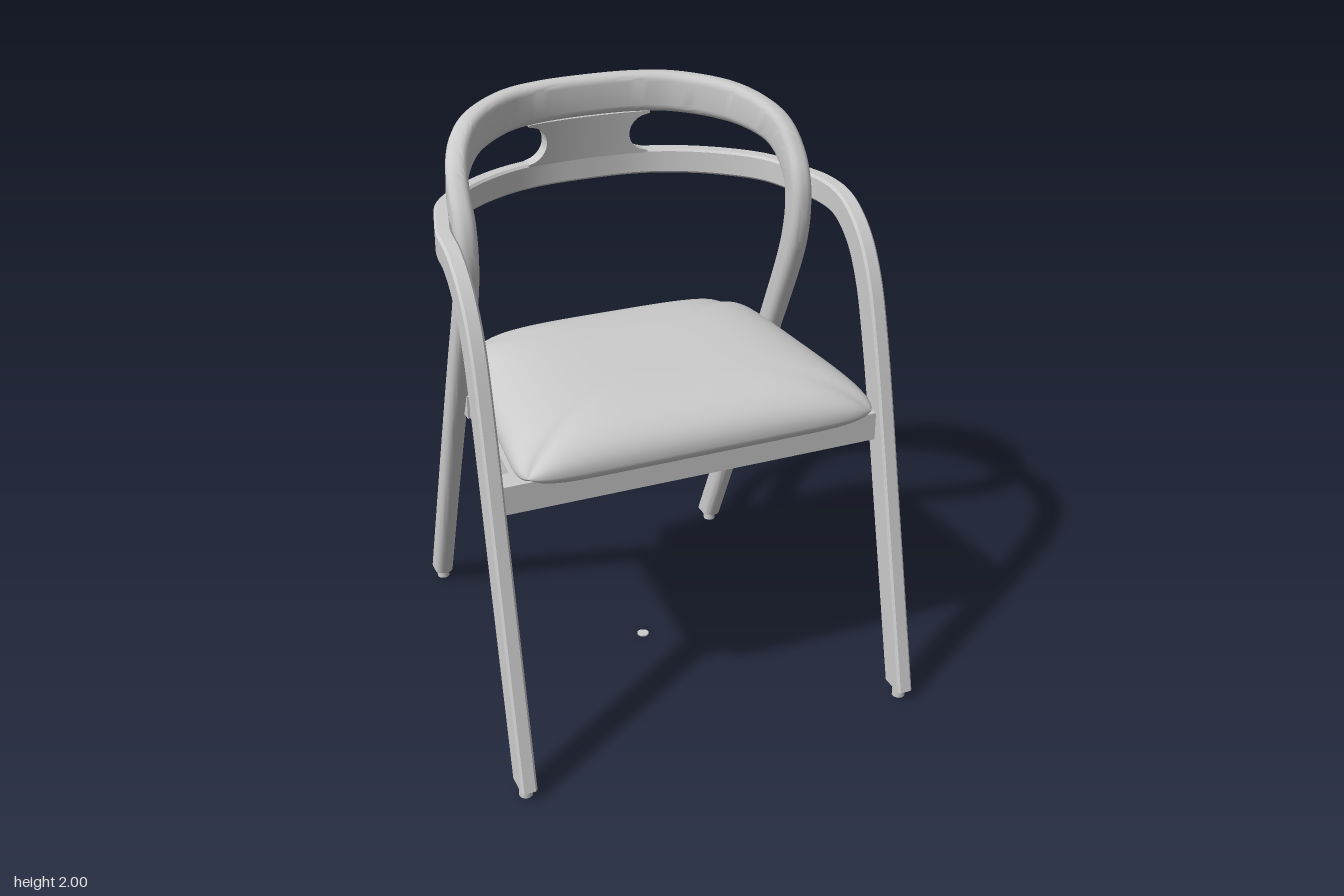
import * as THREE from 'three';
import { toCreasedNormals, mergeVertices } from 'three/addons/utils/BufferGeometryUtils.js';

const material = new THREE.MeshStandardMaterial({ color: 0xcccccc });

function add(group, name, geometry, x = 0, y = 0, z = 0) {
  const mesh = new THREE.Mesh(geometry, material);
  mesh.name = name;
  mesh.position.set(x, y, z);
  group.add(mesh);
  return mesh;
}

// Counter-clockwise rounded rectangle with k segments per corner
function roundedRect(w, h, r, k) {
  const pts = [];
  [[1, 1], [-1, 1], [-1, -1], [1, -1]].forEach(([sx, sy], c) => {
    for (let i = 0; i <= k; i++) {
      const a = (c + i / k) * Math.PI / 2;
      pts.push([sx * (w / 2 - r) + r * Math.cos(a), sy * (h / 2 - r) + r * Math.sin(a)]);
    }
  });
  return pts;
}

// Bent bar from the left foot to its mirror image on the right.
// Row: x, y, z, heading of the outer face in degrees (0 = side, 90 = back), thickness, height
function bentBar(half, radius, k, crease) {
  const rows = half.concat(half.slice(0, -1).reverse()
    .map(([x, y, z, a, t, h]) => [-x, y, z, 180 - a, t, h]));
  const curve = new THREE.CatmullRomCurve3(rows.map(r => new THREE.Vector3(r[0], r[1], r[2])));
  const steps = (rows.length - 1) * 6, footY = rows[0][1];
  const pos = [], index = [];
  let n = 0;
  for (let i = 0; i <= steps; i++) {
    const u = i / steps, f = Math.min(Math.floor(i / 6), rows.length - 2), w = i / 6 - f;
    const [a, t, h] = [3, 4, 5].map(c => THREE.MathUtils.lerp(rows[f][c], rows[f + 1][c], w));
    const p = curve.getPoint(u), T = curve.getTangent(u), rad = a * Math.PI / 180;
    const S = new THREE.Vector3(Math.cos(rad), 0, -Math.sin(rad));
    S.addScaledVector(T, -S.dot(T)).normalize();
    const U = T.clone().cross(S);
    const section = roundedRect(t, h, radius, k);
    n = section.length;
    for (const [sa, sb] of section) {
      const v = p.clone().addScaledVector(S, sa).addScaledVector(U, sb);
      // Feet are cut level with the floor
      if (i === 0 || i === steps) v.addScaledVector(T, (footY - v.y) / T.y);
      pos.push(v.x, v.y, v.z);
    }
  }
  for (let i = 0; i < steps; i++) for (let j = 0; j < n; j++) {
    const a = i * n + j, b = i * n + (j + 1) % n;
    index.push(a, b, a + n, b, b + n, a + n);
  }
  for (let j = 1; j < n - 1; j++) {
    const e = steps * n;
    index.push(0, j + 1, j, e, e + j, e + j + 1);
  }
  const g = new THREE.BufferGeometry();
  g.setAttribute('position', new THREE.Float32BufferAttribute(pos, 3));
  g.setIndex(index);
  return toCreasedNormals(g, crease);
}

// Moves every vertex by a rule and smooths the result
function reshape(geometry, rule, crease) {
  geometry.deleteAttribute('normal');
  geometry.deleteAttribute('uv');
  const p = geometry.attributes.position;
  for (let i = 0; i < p.count; i++) p.setXYZ(i, ...rule(p.getX(i), p.getY(i), p.getZ(i)));
  const g = mergeVertices(geometry, 1e-5);
  if (crease) return toCreasedNormals(g, crease);
  g.computeVertexNormals();
  return g;
}

export function createModel() {
  const chair = new THREE.Group();
  chair.name = 'chair';

  // Front legs running into the armrests and lower back rail
  add(chair, 'frontLegsAndArmRail', bentBar([
    [0.697, 0.04, 0.685, 0, 0.055, 0.097],
    [0.694, 0.64, 0.533, 0, 0.055, 0.097],
    [0.69, 1.24, 0.38, 0, 0.055, 0.097],
    [0.688, 1.46, 0.305, 0, 0.055, 0.097],
    [0.687, 1.58, 0.225, 0, 0.055, 0.095],
    [0.684, 1.65, 0.12, 2, 0.055, 0.092],
    [0.676, 1.665, 0, 8, 0.055, 0.09],
    [0.655, 1.665, -0.09, 16, 0.055, 0.09],
    [0.595, 1.665, -0.275, 30, 0.055, 0.09],
    [0.485, 1.665, -0.395, 50, 0.055, 0.09],
    [0.337, 1.665, -0.49, 64, 0.055, 0.09],
    [0.19, 1.665, -0.538, 78, 0.055, 0.09],
    [0, 1.665, -0.55, 90, 0.055, 0.09],
  ], 0.008, 1, 0.6));

  // Rear legs curling over into the top rail
  add(chair, 'rearLegsAndTopRail', bentBar([
    [0.579, 0.035, -0.68, 0, 0.068, 0.092],
    [0.589, 0.58, -0.443, 0, 0.068, 0.092],
    [0.597, 1.12, -0.207, 0, 0.07, 0.092],
    [0.598, 1.4, -0.086, 0, 0.072, 0.097],
    [0.598, 1.5, -0.055, 0, 0.072, 0.1],
    [0.598, 1.6, -0.043, 0, 0.072, 0.1],
    [0.598, 1.7, -0.058, 0, 0.072, 0.102],
    [0.593, 1.785, -0.115, 8, 0.072, 0.11],
    [0.573, 1.845, -0.18, 20, 0.072, 0.12],
    [0.525, 1.885, -0.27, 35, 0.074, 0.13],
    [0.455, 1.908, -0.36, 46, 0.075, 0.138],
    [0.31, 1.924, -0.473, 65, 0.075, 0.14],
    [0.18, 1.929, -0.512, 79, 0.075, 0.14],
    [0, 1.93, -0.525, 90, 0.075, 0.14],
  ], 0.028, 5, 0.5));

  // Curved web joining both rails, its hollow ends forming the round slot ends
  add(chair, 'backWeb', reshape(new THREE.BoxGeometry(2, 2, 2, 16, 20, 1), (x, y, z) => {
    const yy = 1.78 + 0.08 * y, t = Math.min(1, Math.abs(0.08 * y / 0.07));
    const px = x * (0.225 - 0.07 * Math.sqrt(1 - t * t));
    return [px, yy, -0.538 + 0.012 * y + 0.38 * px * px + 0.028 * z];
  }, 0.6));

  // Domed cushion, narrower towards the back
  add(chair, 'seatCushion', reshape(new THREE.BoxGeometry(2, 2, 2, 40, 1, 40), (x, y, z) => {
    const u = Math.sin(x * Math.PI / 2), v = Math.sin(z * Math.PI / 2);
    const m = Math.max(Math.abs(u), Math.abs(v));
    const k = m > 0 ? m / Math.pow(u ** 12 + v ** 12, 1 / 12) : 1;
    const bulge = (p, e) => Math.pow(Math.max(0, (1 - Math.abs(u) ** p) * (1 - Math.abs(v) ** p)), e);
    const py = y > 0 ? 1.08 + 0.14 * bulge(4, 0.45) : 1.08 - 0.063 * bulge(8, 0.5);
    return [u * k * (0.587 + 0.048 * v), py - 0.006 * v, 0.078 + v * k * 0.478];
  }));

  // Seat frame
  add(chair, 'frontSeatRail', new THREE.BoxGeometry(1.34, 0.1, 0.085), 0, 0.97, 0.415);
  add(chair, 'backSeatRail', new THREE.BoxGeometry(1.15, 0.085, 0.06), 0, 0.967, -0.235);
  for (const s of [1, -1]) {
    const rail = add(chair, s > 0 ? 'leftSeatRail' : 'rightSeatRail',
      new THREE.BoxGeometry(0.055, 0.085, 0.65), s * 0.56, 0.97, 0.08);
    rail.rotation.y = s * 0.075;
  }

  // Floor glides
  for (const s of [1, -1]) {
    const side = s > 0 ? 'Left' : 'Right';
    add(chair, 'front' + side + 'Glide', new THREE.CylinderGeometry(0.023, 0.023, 0.05, 16), s * 0.697, 0.025, 0.688);
    add(chair, 'rear' + side + 'Glide', new THREE.CylinderGeometry(0.023, 0.023, 0.05, 16), s * 0.579, 0.025, -0.673);
  }
  // Small loose disc on the floor
  add(chair, 'floorDisc', new THREE.CylinderGeometry(0.022, 0.022, 0.004, 8), 0, 0.002, 0);

  return chair;
}
